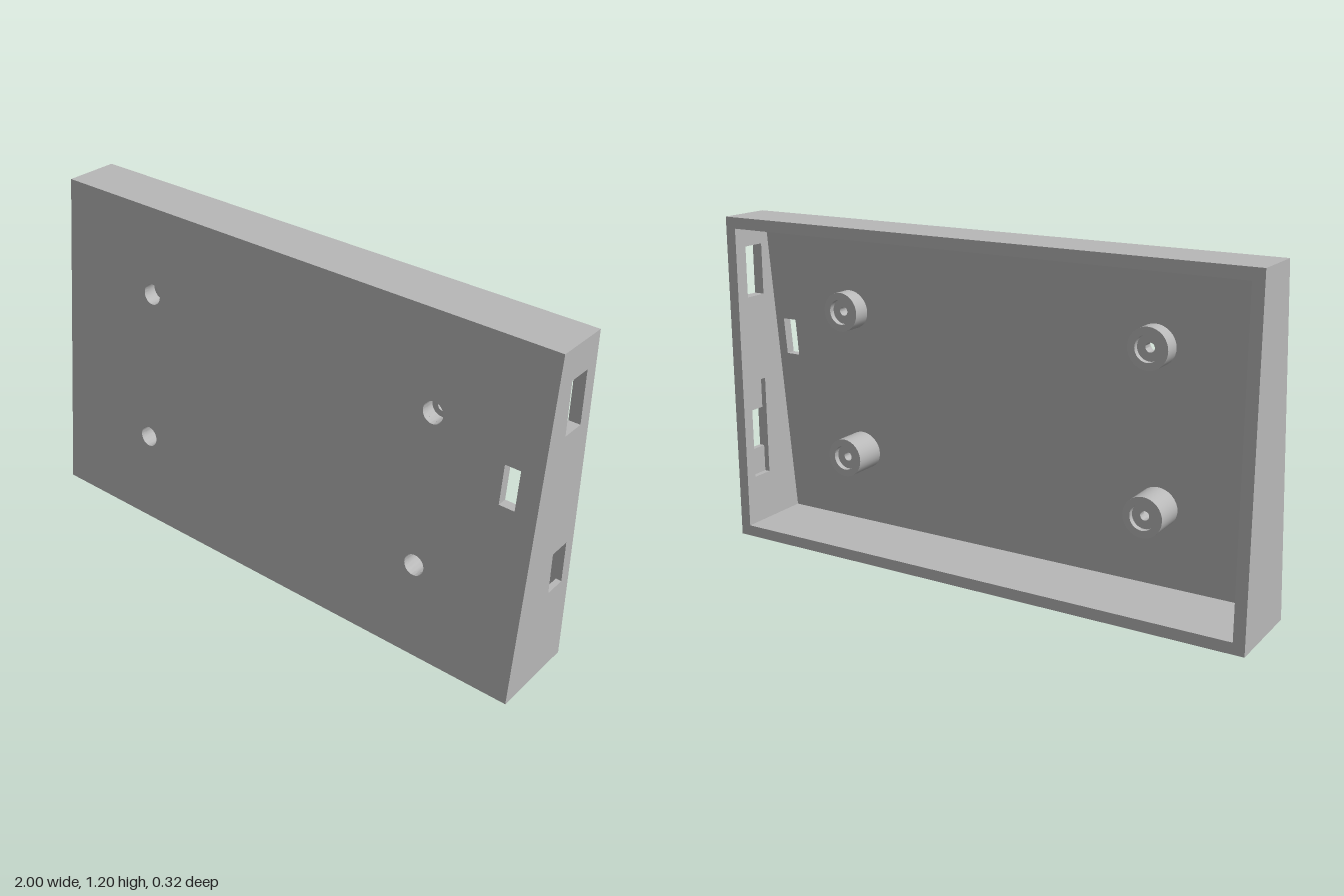
import * as THREE from 'three';
import { toCreasedNormals } from 'three/addons/utils/BufferGeometryUtils.js';

const H = 1.195, BACK = -0.16, FOOT = 0.16, SLOPE = 0.104;
const WALL = 0.04, PLATE = 0.035;
const frontZ = (y) => FOOT - SLOPE * y; // sloping front face
const innerZ = (y) => frontZ(y) - PLATE; // inside of the front plate

const rect = (Type, x0, x1, y0, y1) => new Type([[x0, y0], [x1, y0], [x1, y1], [x0, y1]].map(([x, y]) => new THREE.Vector2(x, y)));

// Wall slab: a z-y section between heights y0 and y1, extruded along x.
// Each cutout is [zMin, zMax, yMin, yMax].
function slab(x, width, y0, y1, cutouts = []) {
  const shape = new THREE.Shape([[-innerZ(y0), y0], [-BACK, y0], [-BACK, y1], [-innerZ(y1), y1]]
    .map(([u, v]) => new THREE.Vector2(u, v)));
  for (const [z0, z1, a, b] of cutouts) shape.holes.push(rect(THREE.Path, -z1, -z0, a, b));
  return new THREE.ExtrudeGeometry(shape, { depth: width, bevelEnabled: false })
    .rotateY(Math.PI / 2).translate(x, 0, 0);
}

export function createModel() {
  const group = new THREE.Group();
  const grey = new THREE.MeshStandardMaterial({ color: 0xb8b8b8 });
  grey.name = 'grey plastic';
  const add = (name, geometry) => {
    const mesh = new THREE.Mesh(geometry, grey);
    mesh.name = name;
    group.add(mesh);
  };

  const posts = [[-0.585, 0.885], [0.605, 0.87], [-0.585, 0.33], [0.605, 0.33]];

  // Front plate with screw holes and a slot, sheared to the slope
  const face = rect(THREE.Shape, -1, 1, 0, H);
  for (const [x, y] of posts) face.holes.push(new THREE.Path().absarc(x, y, 0.037, 0, Math.PI * 2, true));
  face.holes.push(rect(THREE.Path, 0.87, 0.925, 0.665, 0.8));
  const plate = new THREE.ExtrudeGeometry(face, { depth: PLATE, bevelEnabled: false, curveSegments: 32 });
  const p = plate.attributes.position;
  for (let i = 0; i < p.count; i++) p.setZ(i, p.getZ(i) + innerZ(p.getY(i)));
  add('frontPlate', toCreasedNormals(plate, 0.6));

  // Frame walls
  add('bottomWall', slab(-1 + WALL, 2 - 2 * WALL, 0, WALL));
  add('topWall', slab(-1 + WALL, 2 - 2 * WALL, H - WALL, H));
  add('rightWall', slab(-1, WALL, 0, H));

  // Left wall: two port openings, the lower one with a wider pocket inside
  const upperPort = [-0.11, -0.025, 0.9, 1.085];
  add('leftWallOuter', slab(1 - WALL / 2, WALL / 2, 0, H, [upperPort, [-0.117, -0.038, 0.32, 0.47]]));
  add('leftWallInner', slab(1 - WALL, WALL / 2, 0, H, [upperPort, [-0.117, -0.038, 0.22, 0.585]]));

  // Screw posts: recess at the back, thin bore, wide bore open to the front
  for (const [x, y] of posts) {
    const end = innerZ(y) + PLATE / 2;
    const profile = [[0.016, -0.01], [0.045, -0.01], [0.045, -0.03], [0.07, -0.03], [0.07, end],
      [0.037, end], [0.037, 0.02], [0.016, 0.02], [0.016, -0.01]].map(([r, z]) => new THREE.Vector2(r, z));
    const post = new THREE.LatheGeometry(profile, 32).rotateX(Math.PI / 2).translate(x, y, 0);
    add('screwPost', toCreasedNormals(post, 0.6));
  }
  return group;
}
